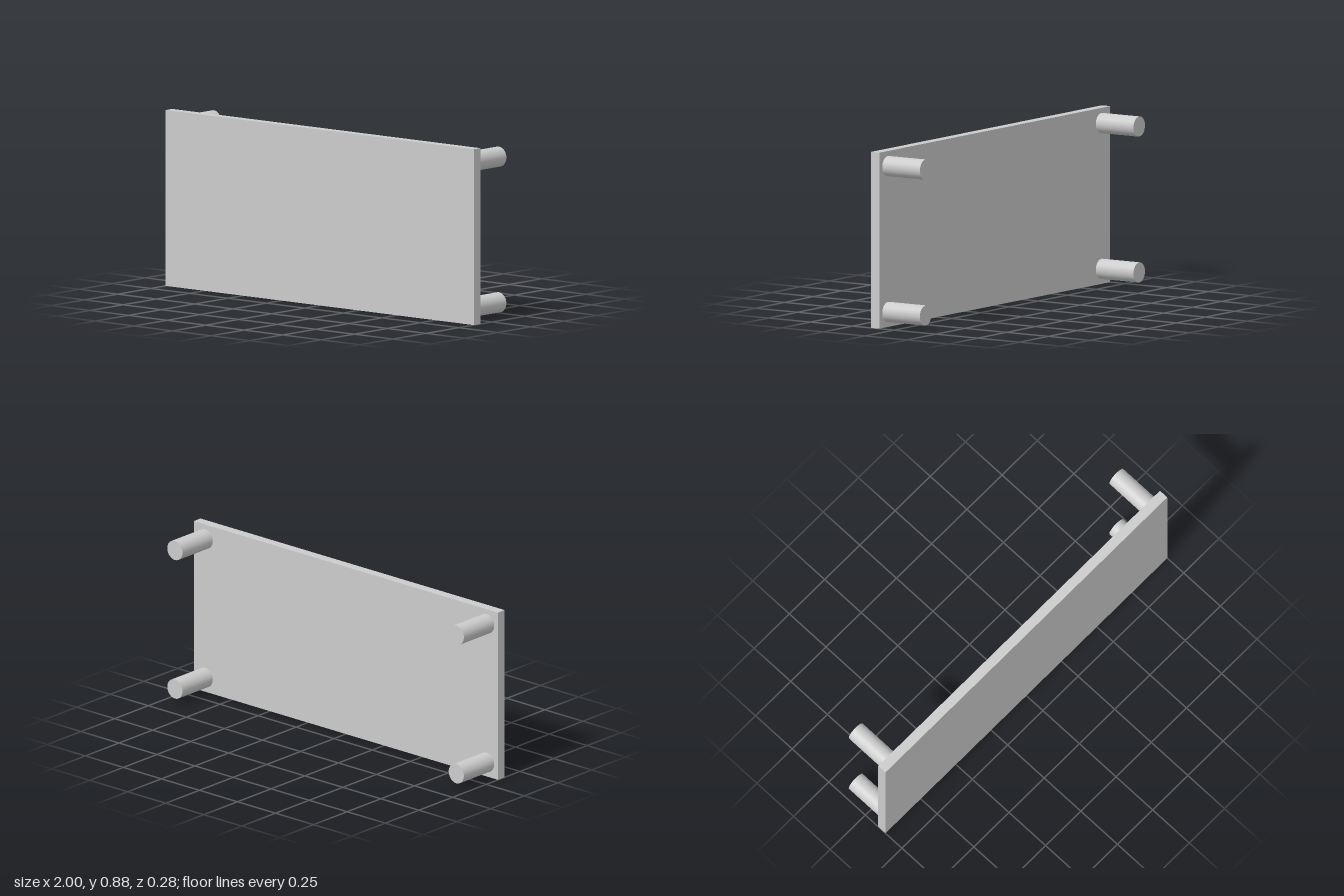
import * as THREE from 'three';

const WIDTH = 2, HEIGHT = 0.875, THICKNESS = 0.05;
const LEG_RADIUS = 0.05, LEG_LENGTH = 0.225, INSET = 0.075;
const DEPTH = THICKNESS + LEG_LENGTH;

export function createModel() {
  const model = new THREE.Group();
  model.name = 'panelTable';
  const material = new THREE.MeshStandardMaterial({ color: 0xcccccc });

  // Flat top panel, standing on its long edge and facing +z
  const panel = new THREE.Mesh(new THREE.BoxGeometry(WIDTH, HEIGHT, THICKNESS), material);
  panel.name = 'panel';
  panel.position.set(0, HEIGHT / 2, DEPTH / 2 - THICKNESS / 2);
  model.add(panel);

  // Four round legs behind the corners
  const legGeometry = new THREE.CylinderGeometry(LEG_RADIUS, LEG_RADIUS, LEG_LENGTH, 48);
  legGeometry.rotateX(Math.PI / 2);
  for (const [side, sx] of [['Left', 1], ['Right', -1]]) {
    for (const [level, y] of [['lower', INSET], ['upper', HEIGHT - INSET]]) {
      const leg = new THREE.Mesh(legGeometry, material);
      leg.name = `${level}${side}Leg`;
      leg.position.set(sx * (WIDTH / 2 - INSET), y, -DEPTH / 2 + LEG_LENGTH / 2);
      model.add(leg);
    }
  }
  return model;
}
